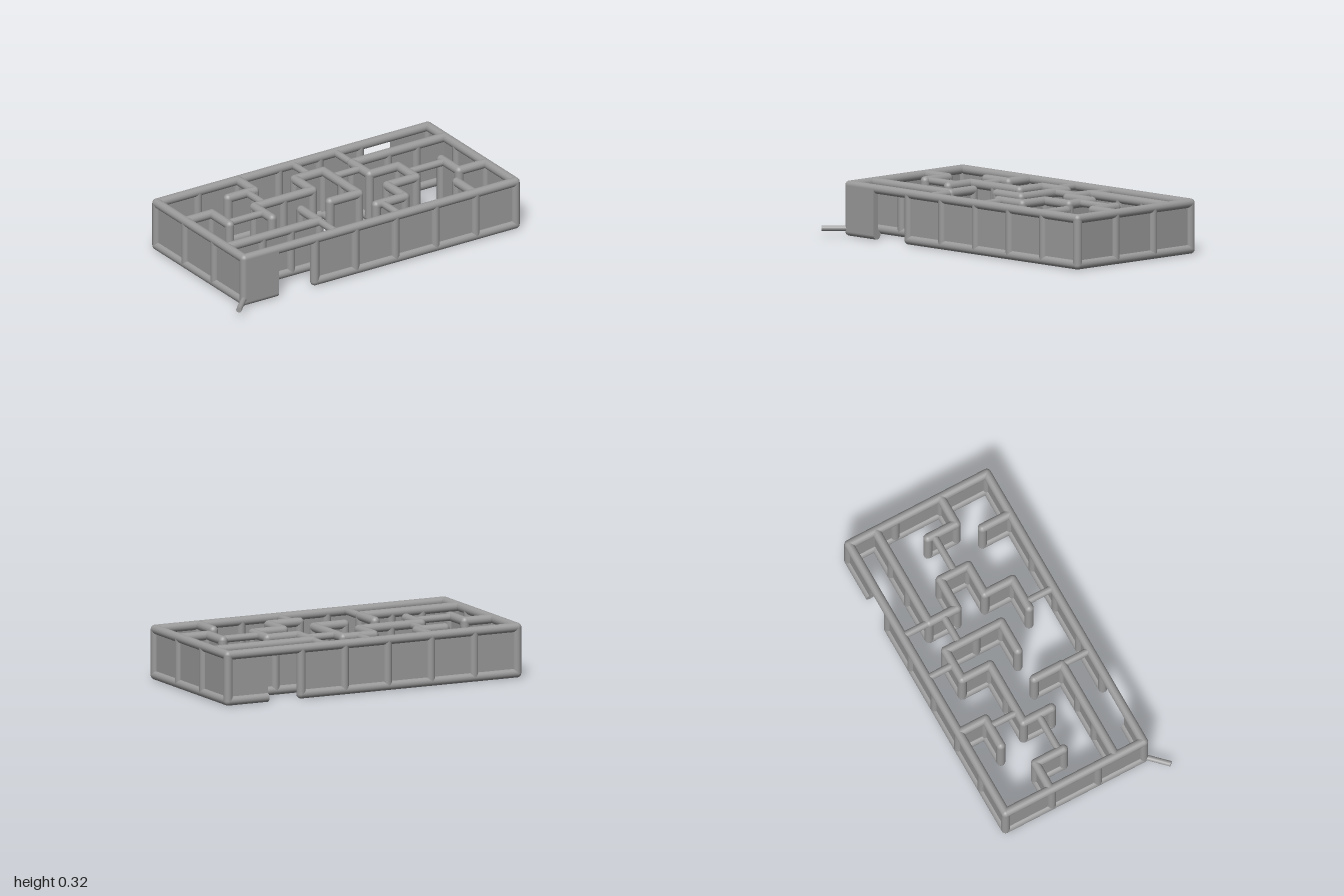
import * as THREE from 'three';

const material = new THREE.MeshStandardMaterial({ color: 0x9a9a9a });
const R = 0.0265, THIN = 0.021;          // rail and bridge radii
const LOW = R, HIGH = 0.29;              // rail centre heights
const L = 0.972, W = -0.875, F = 0.395, B = -0.497; // outer wall lines

export function createModel() {
  const model = new THREE.Group();
  model.name = 'maze';

  function add(parent, name, geometry) {
    const mesh = new THREE.Mesh(geometry, material);
    mesh.name = name;
    parent.add(mesh);
    return mesh;
  }

  // bar between two points, with round or flat ends
  function bar(parent, name, a, b, r, flat = false) {
    const p = new THREE.Vector3(...a), q = new THREE.Vector3(...b);
    const d = q.clone().sub(p), len = d.length();
    const geometry = flat
      ? new THREE.CylinderGeometry(r, r, len, 20)
      : new THREE.CapsuleGeometry(r, len, 4, 20);
    const mesh = add(parent, name, geometry);
    mesh.position.copy(p).add(q).multiplyScalar(0.5);
    mesh.quaternion.setFromUnitVectors(new THREE.Vector3(0, 1, 0), d.normalize());
  }

  const post = (parent, x, z) =>
    bar(parent, 'post', [x, LOW, z], [x, HIGH, z], R);

  // straight wall: two rails, a thin sheet and posts at regular steps;
  // a cut wall ends flat and without a post
  function wall(name, [x0, z0], [x1, z1], step = 0.195, cut = false) {
    const g = new THREE.Group();
    g.name = name;
    model.add(g);
    const len = Math.hypot(x1 - x0, z1 - z0);
    bar(g, 'bottomRail', [x0, LOW, z0], [x1, LOW, z1], R, cut);
    bar(g, 'topRail', [x0, HIGH, z0], [x1, HIGH, z1], R, cut);
    const sheet = add(g, 'panel', new THREE.BoxGeometry(
      Math.abs(x1 - x0) || 0.012, HIGH - LOW, Math.abs(z1 - z0) || 0.012));
    sheet.position.set((x0 + x1) / 2, (LOW + HIGH) / 2, (z0 + z1) / 2);
    // inner walls get no post where they run into an outer wall
    const place = (x, z) => {
      const buried = x === L || x === W || z === F || z === B;
      if (name !== 'innerWall' || !buried) post(g, x, z);
    };
    for (let t = 0; t < len - 0.06; t += step) {
      place(x0 + (x1 - x0) * t / len, z0 + (z1 - z0) * t / len);
    }
    if (!cut) place(x1, z1);
  }

  // outer walls, with an entrance in front and an exit at the back
  wall('leftWall', [L, F], [L, B], (F - B) / 3);
  wall('rightWall', [W, F], [W, B], (F - B) / 3);
  wall('frontWall', [L, F], [-0.395, F], (L + 0.395) / 5);
  wall('backWall', [W, B], [0.505, B], (0.505 - W) / 5);
  wall('frontEndWall', [W, F], [-0.655, F], 1, true);
  wall('backEndWall', [L, B], [0.72, B], 1, true);
  bar(model, 'entranceLintel', [W, HIGH, F], [-0.395, HIGH, F], R);
  bar(model, 'exitLintel', [0.505, HIGH, B], [L, HIGH, B], R);

  // flush plate beside the entrance
  const plate = add(model, 'entrancePlate',
    new THREE.BoxGeometry(0.22, HIGH - LOW, R));
  plate.position.set(W + 0.11, (LOW + HIGH) / 2, F + R / 2);

  // inner walls, each a run of corner points
  const runs = [
    [[-0.505, -0.325], [-0.325, -0.325], [-0.325, B]],
    [[W, -0.205], [-0.695, -0.205], [-0.695, -0.025]],
    [[-0.445, 0.035], [-0.445, -0.145], [-0.05, -0.145], [-0.05, -0.325],
      [0.145, -0.325], [0.145, 0.035], [-0.05, 0.035]],
    [[-0.245, 0.035], [-0.245, 0.215], [W, 0.215]],
    [[L, -0.325], [0.34, -0.325], [0.34, -0.145], [0.535, -0.145],
      [0.535, 0.035], [0.34, 0.035], [0.34, 0.215], [0.145, 0.215]],
    [[0.79, -0.085], [0.79, 0.095], [L, 0.095]],
    [[0.695, 0.215], [0.695, F]],
  ];
  for (const run of runs) {
    for (let i = 1; i < run.length; i++) wall('innerWall', run[i - 1], run[i]);
  }

  // thin bars bridging the passages at the top
  const bridges = [
    [0.05, B, 0.05, -0.325], [0.34, B, 0.34, -0.325],
    [-0.375, -0.325, -0.375, -0.145], [-0.695, -0.05, -0.445, -0.05],
    [0.185, 0.215, 0.185, F], [-0.245, 0.215, -0.245, F],
    [0.145, -0.235, 0.34, -0.235], [0.535, -0.05, 0.79, -0.05],
  ];
  for (const [x0, z0, x1, z1] of bridges) {
    bar(model, 'passageBridge', [x0, HIGH, z0], [x1, HIGH, z1], THIN);
  }

  // short rod sticking out of the front corner
  bar(model, 'cornerRod', [W, 0.043, F], [-0.989, 0.043, 0.511], 0.016, true);

  return model;
}
